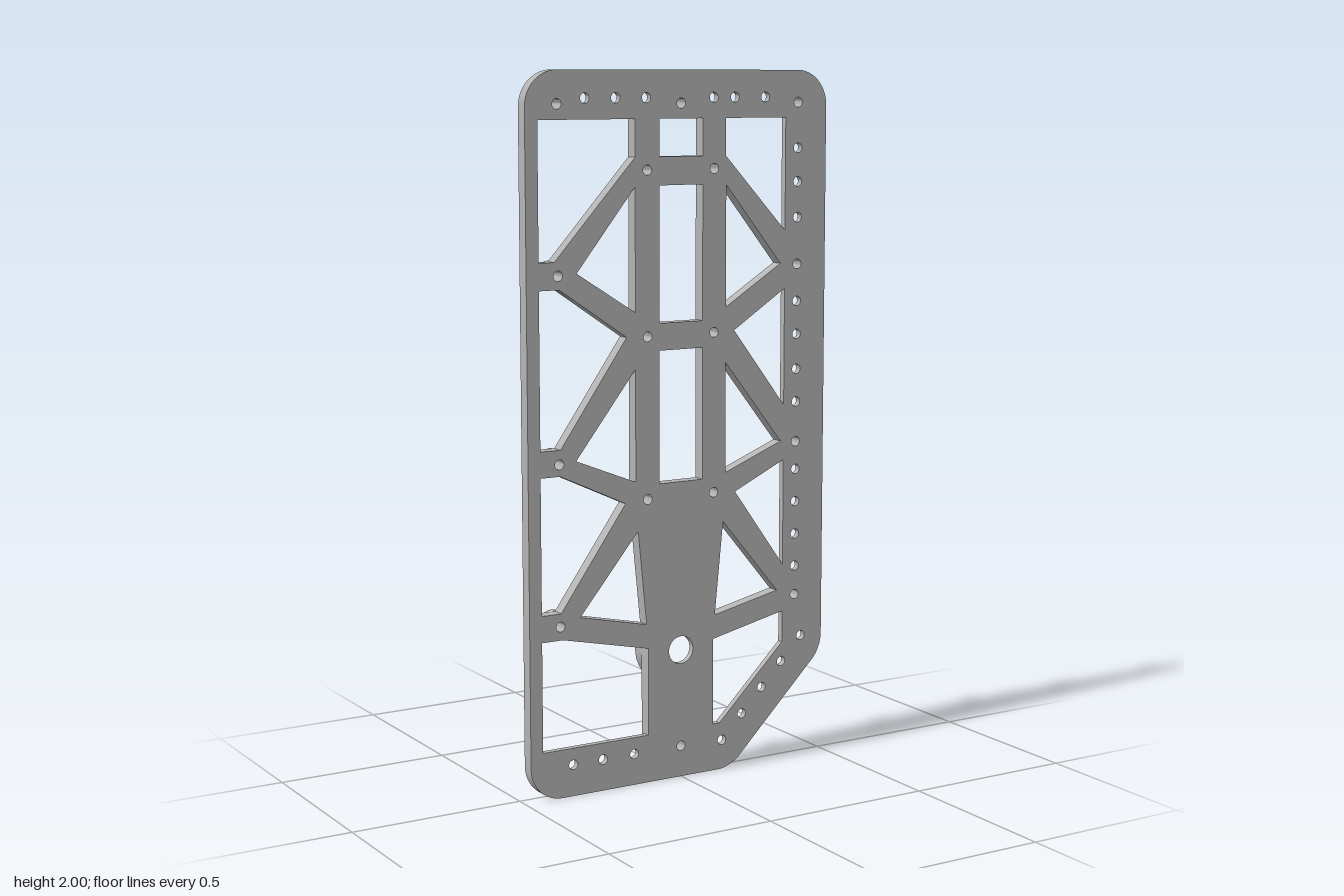
import * as THREE from 'three';
import { toCreasedNormals } from 'three/addons/utils/BufferGeometryUtils.js';

const FRONT = 0.037, FLOOR = 0.018;

// Trace a polygon; a third number in a point is how far its corner is rounded back
function trace(path, pts) {
  const n = pts.length;
  pts.forEach(([x, y, r = 0], i) => {
    const p = new THREE.Vector2(x, y);
    const toward = (q) => p.clone().add(new THREE.Vector2(q[0], q[1]).sub(p).setLength(r));
    const a = r ? toward(pts[(i + n - 1) % n]) : p;
    if (i === 0) path.moveTo(a.x, a.y); else path.lineTo(a.x, a.y);
    if (r) {
      const b = toward(pts[(i + 1) % n]);
      // cubic that closely follows a circular arc
      const c1 = a.clone().lerp(p, 0.553), c2 = b.clone().lerp(p, 0.553);
      path.bezierCurveTo(c1.x, c1.y, c2.x, c2.y, b.x, b.y);
    }
  });
  path.closePath();
  return path;
}
const poly = (pts) => trace(new THREE.Path(), pts);
const circle = (x, y, r) => new THREE.Path().absarc(x, y, r, 0, Math.PI * 2, true);
const mirror = (pts) => pts.map(([x, y]) => [-x, y]).reverse();

const outline = [
  [-0.483, 0, 0.098], [0.168, 0, 0.042], [0.483, 0.315, 0.042],
  [0.483, 2, 0.098], [-0.483, 2, 0.098],
];

// Triangles between the struts, given for the left half and mirrored
const triangles = [
  [[-0.147, 1.685], [-0.33, 1.457], [-0.147, 1.342]],
  [[-0.147, 1.185], [-0.335, 0.945], [-0.147, 0.87]],
  [[-0.14, 0.73], [-0.325, 0.507], [-0.113, 0.46]],
];
// Windows that run through the full thickness
const windows = [
  ...triangles, ...triangles.map(mirror),
  [[-0.445, 1.415], [-0.383, 1.415], [-0.175, 1.275], [-0.383, 0.98], [-0.445, 0.98]],
  [[-0.445, 0.907], [-0.385, 0.907], [-0.18, 0.812], [-0.385, 0.525], [-0.445, 0.525]],
  [[-0.07, 1.687], [0.07, 1.687], [0.07, 1.308], [-0.07, 1.308]],
  [[-0.07, 1.232], [0.07, 1.232], [0.07, 0.858], [-0.07, 0.858]],
];
// Windows that open into the recessed shelf behind the border
const borderWindows = [
  [[-0.445, 1.868], [-0.147, 1.868], [-0.147, 1.765], [-0.398, 1.49], [-0.445, 1.49]],
  [[-0.07, 1.868], [0.07, 1.868], [0.07, 1.765], [-0.07, 1.765]],
  [[0.145, 1.868], [0.345, 1.868], [0.345, 1.55], [0.145, 1.765]],
  [[0.175, 1.275], [0.345, 1.385], [0.345, 1.05]],
  [[0.18, 0.812], [0.345, 0.89], [0.345, 0.582]],
  [[0.108, 0.39], [0.345, 0.443], [0.345, 0.35], [0.13, 0.138], [0.108, 0.138]],
  [[-0.445, 0.45], [-0.38, 0.45], [-0.108, 0.39], [-0.108, 0.138], [-0.445, 0.138]],
];
// Shelf pockets cut into the back, with strut ends reaching into them
const pockets = [
  [
    [0.108, 0.038], [0.152, 0.038, 0.026], [0.445, 0.331, 0.026], [0.445, 1.962, 0.06],
    [-0.445, 1.962, 0.06], [-0.445, 1.49], [-0.398, 1.49], [-0.147, 1.765], [-0.147, 1.868],
    [-0.07, 1.868], [-0.07, 1.765], [0.07, 1.765], [0.07, 1.868], [0.145, 1.868], [0.145, 1.765],
    [0.345, 1.55], [0.36, 1.495], [0.36, 1.395], [0.345, 1.385], [0.175, 1.275], [0.345, 1.05],
    [0.36, 1.03], [0.36, 0.897], [0.345, 0.89], [0.18, 0.812], [0.345, 0.582], [0.36, 0.562],
    [0.36, 0.446], [0.345, 0.443], [0.108, 0.39],
  ],
  [[-0.445, 0.45], [-0.38, 0.45], [-0.108, 0.39], [-0.108, 0.038], [-0.445, 0.038, 0.06]],
];

// Fixing holes: nodes go through solid struts, shelf holes through the thin border
const nodes = [];
for (const y of [1.73, 1.273, 0.817]) nodes.push([-0.108, y], [0.108, y]);
for (const y of [1.453, 0.94, 0.488]) nodes.push([-0.387, y]);
const shelfNodes = [[-0.387, 1.91], [0, 1.91], [0.387, 1.91], [0.387, 1.453], [0.387, 0.94], [0.387, 0.488]];
const shelfHoles = [
  ...[-0.302, -0.207, -0.111, 0.106, 0.175, 0.276].map((x) => [x, 1.925]),
  ...[1.782, 1.687, 1.586, 1.347, 1.252, 1.151, 1.056, 0.859, 0.764, 0.668, 0.573].map((y) => [0.387, y]),
  ...[0, 1, 2, 3, 4].map((i) => [0.138 + i * 0.068, 0.086 + i * 0.069]),
  ...[-0.35, -0.255, -0.154].map((x) => [x, 0.09]),
];
const footHole = [0, 0.09];
const hub = [0, 0.372];

export function createModel() {
  const group = new THREE.Group();
  const grey = new THREE.MeshStandardMaterial({ color: 0xb3b3b3 });
  grey.name = 'plain grey';

  const slab = (name, shape, z0, z1) => {
    const geo = new THREE.ExtrudeGeometry(shape, { depth: z1 - z0, bevelEnabled: false, curveSegments: 12 });
    geo.translate(0, 0, z0);
    const mesh = new THREE.Mesh(toCreasedNormals(geo, 0.6), grey);
    mesh.name = name;
    group.add(mesh);
  };
  const small = ([x, y]) => circle(x, y, 0.014);

  // Front layer: border shelf, struts and every hole
  const front = trace(new THREE.Shape(), outline);
  front.holes = [
    ...[...windows, ...borderWindows].map(poly),
    ...[...nodes, ...shelfNodes, ...shelfHoles, footHole].map(small),
    circle(...hub, 0.04),
  ];
  slab('frontPlate', front, FLOOR, FRONT);

  // Back layer: raised rim and full-depth struts
  const back = trace(new THREE.Shape(), outline);
  back.holes = [
    ...[...windows, ...pockets].map(poly),
    ...[...nodes, footHole].map(small),
    circle(...hub, 0.08),
  ];
  slab('rimAndStruts', back, 0, FLOOR);

  // Round bosses and the large hub ring on the back
  const ring = (name, [x, y], outer, inner, z0, z1) => {
    const shape = new THREE.Shape().absarc(x, y, outer, 0, Math.PI * 2, false);
    shape.holes = [circle(x, y, inner)];
    slab(name, shape, z0, z1);
  };
  nodes.forEach((p) => ring('strutBoss', p, 0.038, 0.014, -0.02, 0));
  shelfNodes.forEach((p) => ring('shelfBoss', p, 0.038, 0.014, -0.02, FLOOR));
  ring('hubRing', hub, 0.107, 0.08, -0.039, 0);

  return group;
}
